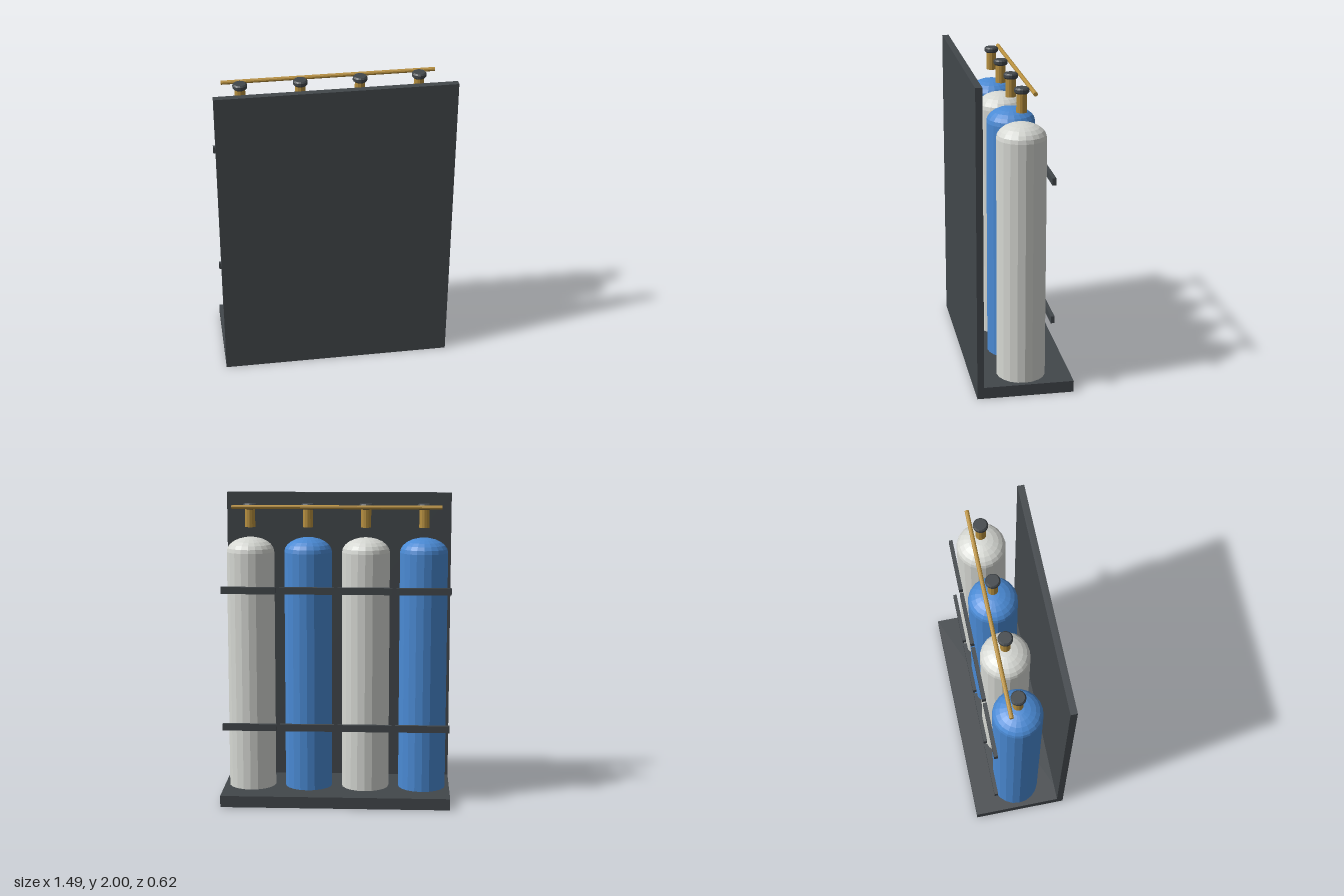
import * as THREE from 'three';

const material = (name, color) => {
  const m = new THREE.MeshStandardMaterial({ color, flatShading: true });
  m.name = name;
  return m;
};

export function createModel() {
  const rack = new THREE.Group();
  rack.name = 'gasBottleRack';
  const dark = material('darkSteel', 0x42474b);
  const white = material('whitePaint', 0xd6d8d3);
  const blue = material('bluePaint', 0x4a8ad4);
  const brass = material('brass', 0xb8903f);

  const add = (parent, name, geometry, mat, x, y, z) => {
    const mesh = new THREE.Mesh(geometry, mat);
    mesh.name = name;
    mesh.position.set(x, y, z);
    parent.add(mesh);
    return mesh;
  };

  // Base plate and upright panel
  add(rack, 'basePlate', new THREE.BoxGeometry(1.49, 0.075, 0.615), dark, 0, 0.0375, 0);
  add(rack, 'uprightPanel', new THREE.BoxGeometry(1.49, 1.925, 0.043), dark, 0, 1.0375, 0.286);

  // Shared bottle parts
  const radius = 0.155;
  const body = new THREE.CylinderGeometry(radius, radius, 1.56, 20);
  const dome = new THREE.SphereGeometry(radius, 20, 6, 0, Math.PI * 2, 0, Math.PI / 2);
  dome.rotateY(Math.PI / 2).scale(1, 0.615, 1);
  const valve = new THREE.CylinderGeometry(0.033, 0.033, 0.122, 12);
  const wheel = new THREE.LatheGeometry([
    [0, -0.018], [0.038, -0.018], [0.046, -0.009],
    [0.046, 0.009], [0.038, 0.018], [0, 0.018],
  ].map(([r, y]) => new THREE.Vector2(r, y)), 16);
  const strap = new THREE.BoxGeometry(0.352, 0.045, 0.024);

  // Four bottles with valves, handwheels and two retaining straps each
  for (let i = 0; i < 4; i++) {
    const bottle = new THREE.Group();
    bottle.name = 'bottle' + (i + 1);
    bottle.position.x = (i - 1.5) * 0.375;
    rack.add(bottle);
    const paint = i % 2 ? white : blue;
    add(bottle, 'bottleBody', body, paint, 0, 0.855, 0);
    add(bottle, 'bottleDome', dome, paint, 0, 1.635, 0);
    add(bottle, 'valve', valve, brass, 0, 1.856, 0);
    add(bottle, 'handwheel', wheel, dark, 0, 1.929, 0);
    for (const y of [0.503, 1.403]) add(bottle, 'strap', strap, dark, 0, y, -0.168);
  }

  // Manifold pipe running behind the handwheels
  const pipe = new THREE.CylinderGeometry(0.013, 0.013, 1.35, 10).rotateZ(Math.PI / 2);
  add(rack, 'manifoldPipe', pipe, brass, 0, 1.929, -0.063);

  return rack;
}
